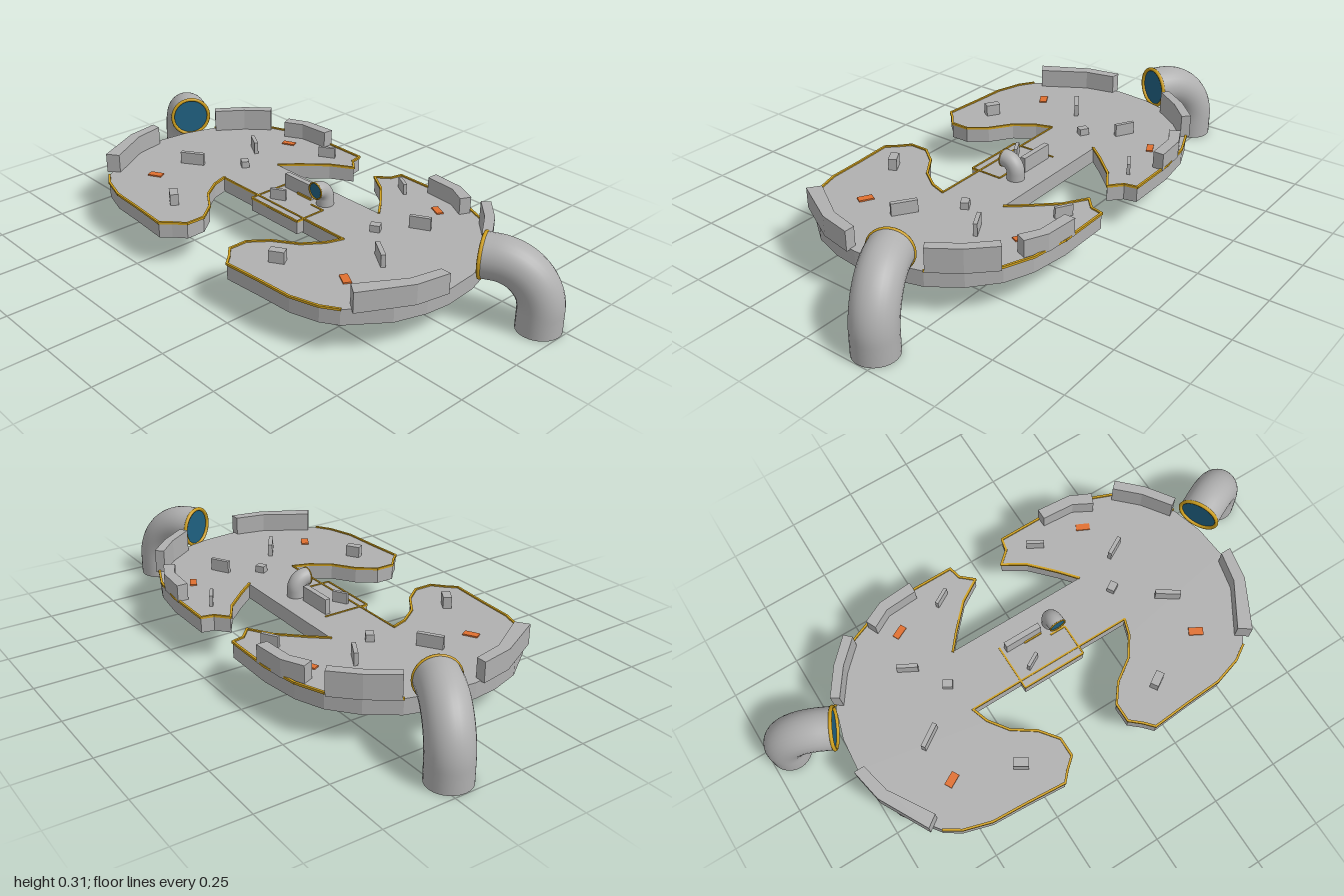
import * as THREE from 'three';

const mat = (name, color, side = THREE.FrontSide) => {
  const m = new THREE.MeshStandardMaterial({ color, side });
  m.name = name;
  return m;
};

export function createModel() {
  const model = new THREE.Group();
  model.name = 'arenaPlatform';
  const grey = mat('concrete grey', 0xb0b0b0);
  const gold = mat('gold trim', 0xcfa01e);
  const blue = mat('deep blue', 0x1f6080, THREE.DoubleSide);
  const orange = mat('orange marker', 0xe07030);

  const DECK = 0.165;
  const add = (name, geometry, material, parent = model) => {
    const m = new THREE.Mesh(geometry, material);
    m.name = name;
    parent.add(m);
    return m;
  };
  // Vertical slab from a plan outline of [x, z] points
  const slab = (name, points, y0, y1, material) => {
    const shape = new THREE.Shape(points.map(([x, z]) => new THREE.Vector2(x, -z)));
    const g = new THREE.ExtrudeGeometry(shape, { depth: y1 - y0, bevelEnabled: false });
    g.rotateX(-Math.PI / 2);
    g.translate(0, y0, 0);
    return add(name, g, material);
  };
  // Box laid along a plan segment
  const bar = (name, a, b, width, y0, y1, material, extra = 0) => {
    const dx = b[0] - a[0], dz = b[1] - a[1];
    const m = add(name, new THREE.BoxGeometry(Math.hypot(dx, dz) + extra, y1 - y0, width), material);
    m.position.set((a[0] + b[0]) / 2, (y0 + y1) / 2, (a[1] + b[1]) / 2);
    m.rotation.y = -Math.atan2(dz, dx);
    return m;
  };
  const flip = (pts, s) => pts.map(([x, z]) => [x * s, z]);

  // Deck: two lobes joined by a narrow bridge
  const back = [
    [0.265, -0.165], [0.215, -0.225], [0.135, -0.31], [0.055, -0.36], [0.10, -0.4], [0.11, -0.445],
    [0.31, -0.445], [0.45, -0.425], [0.55, -0.385], [0.64, -0.31], [0.71, -0.21],
  ];
  const sideEdge = [[0.745, -0.09], [0.755, 0.03], [0.745, 0.12], [0.71, 0.23]];
  const front = [
    [0.615, 0.36], [0.56, 0.395], [0.46, 0.425], [0.33, 0.432], [0.185, 0.443], [0.155, 0.41],
    [0.115, 0.375], [0.115, 0.305], [0.165, 0.24], [0.245, 0.185], [0.295, 0.115], [0.315, 0.055],
  ];
  const half = [...back, ...sideEdge, ...front];
  slab('deck', [...half, ...flip(half, -1).reverse()], 0.109, DECK, grey);

  // Centre landing with a thin frame
  const landing = add('landing', new THREE.BoxGeometry(0.24, 0.05, 0.03), grey);
  landing.position.set(0, 0.14, 0.07);
  bar('landingFrame', [-0.12, 0.085], [0.12, 0.085], 0.006, 0.161, 0.168, gold);
  bar('landingFrame', [-0.12, -0.09], [-0.12, 0.085], 0.006, 0.161, 0.168, gold);
  bar('landingFrame', [0.12, -0.035], [0.12, 0.085], 0.006, 0.161, 0.168, gold);
  bar('landingFrame', [0.06, -0.035], [0.12, -0.035], 0.006, 0.161, 0.168, gold);
  bar('bridgeTrim', [-0.315, 0.055], [0.315, 0.055], 0.006, 0.161, 0.168, gold);

  // Console and post on the bridge
  bar('console', [-0.105, -0.07], [0.035, -0.07], 0.02, DECK, 0.22, grey);
  bar('consoleStripe', [-0.035, -0.058], [0.035, -0.058], 0.006, DECK, 0.172, gold);
  bar('bridgePost', [-0.075, 0.035], [-0.025, 0.007], 0.012, DECK, 0.205, grey);

  // Plan segments: start, end, width, top height
  const posts = [
    [[0.17, -0.372], [0.225, -0.34], 0.012, 0.205],
    [[0.4, -0.172], [0.465, -0.208], 0.014, 0.21],
    [[0.328, -0.058], [0.358, -0.076], 0.028, 0.19],
    [[0.455, 0.04], [0.53, 0.09], 0.016, 0.21],
    [[0.255, 0.325], [0.3, 0.297], 0.03, 0.207],
  ];
  const markers = [
    [[0.365, -0.34], [0.41, -0.318], 0.024],
    [[0.48, 0.217], [0.525, 0.242], 0.028],
  ];
  // Wall plans: outer edge followed by inner edge
  const walls = [
    ['backWall', [[0.27, -0.45], [0.395, -0.44], [0.472, -0.403], [0.455, -0.365], [0.388, -0.402], [0.27, -0.41]], 0.226],
    ['backCornerWall', [[0.565, -0.392], [0.645, -0.312], [0.712, -0.215], [0.685, -0.196], [0.618, -0.292], [0.54, -0.368]], 0.248],
    ['frontCornerWall', [[0.768, 0.05], [0.745, 0.17], [0.652, 0.345], [0.61, 0.315], [0.705, 0.16], [0.73, 0.05]], 0.234],
  ];

  // Curved pipe: vertical leg, quarter bend, open mouth
  const pipe = (name, foot, mouth, bend, r) => {
    const g = new THREE.Group();
    g.name = name;
    model.add(g);
    const dir = new THREE.Vector3(mouth.x - foot.x, 0, mouth.z - foot.z).normalize();
    const p0 = new THREE.Vector3(foot.x, mouth.y - bend, foot.z);
    const corner = new THREE.Vector3(foot.x, mouth.y, foot.z);
    const p1 = corner.clone().addScaledVector(dir, bend);
    const path = new THREE.CurvePath();
    path.add(new THREE.LineCurve3(foot, p0));
    path.add(new THREE.CubicBezierCurve3(p0, p0.clone().lerp(corner, 0.5523), p1.clone().lerp(corner, 0.5523), p1));
    path.add(new THREE.LineCurve3(p1, mouth));
    add('pipeBody', new THREE.TubeGeometry(path, 32, r, 28, false), grey, g);
    const rim = add('pipeRim', new THREE.TorusGeometry(r * 0.97, r * 0.09, 8, 28), gold, g);
    const inside = add('pipeOpening', new THREE.CircleGeometry(r * 0.97, 28), blue, g);
    rim.position.copy(mouth);
    inside.position.copy(mouth).addScaledVector(dir, -0.003);
    for (const m of [rim, inside]) m.rotation.y = Math.atan2(dir.x, dir.z);
    const base = add('pipeFootOpening', new THREE.CircleGeometry(r * 0.98, 28), blue, g);
    base.rotation.x = Math.PI / 2;
    base.position.copy(foot).setY(foot.y + 0.003);
  };
  const V = (x, y, z) => new THREE.Vector3(x, y, z);
  pipe('bridgePipe', V(0.086, DECK, -0.078), V(0.086, 0.23, -0.03), 0.04, 0.031);

  // Mirrored features of the two lobes
  for (const s of [1, -1]) {
    const tag = s > 0 ? 'left' : 'right';
    for (const [name, pts, top] of walls) slab(tag + name, flip(pts, s), DECK - 0.003, top, grey);
    for (const [a, b, w, top] of posts) bar(tag + 'Post', ...flip([a, b], s), w, DECK, top, grey);
    for (const [a, b, w] of markers) bar(tag + 'Marker', ...flip([a, b], s), w, DECK, 0.17, orange);
    for (const edge of [back, front]) {
      const pts = flip(edge, s);
      for (let i = 1; i < pts.length; i++) bar(tag + 'EdgeTrim', pts[i - 1], pts[i], 0.008, 0.162, 0.17, gold, 0.004);
    }
    pipe(tag + 'Pipe', V(0.924 * s, 0, -0.21), V(0.752 * s, 0.226, -0.122), 0.155, 0.075);
  }
  return model;
}
